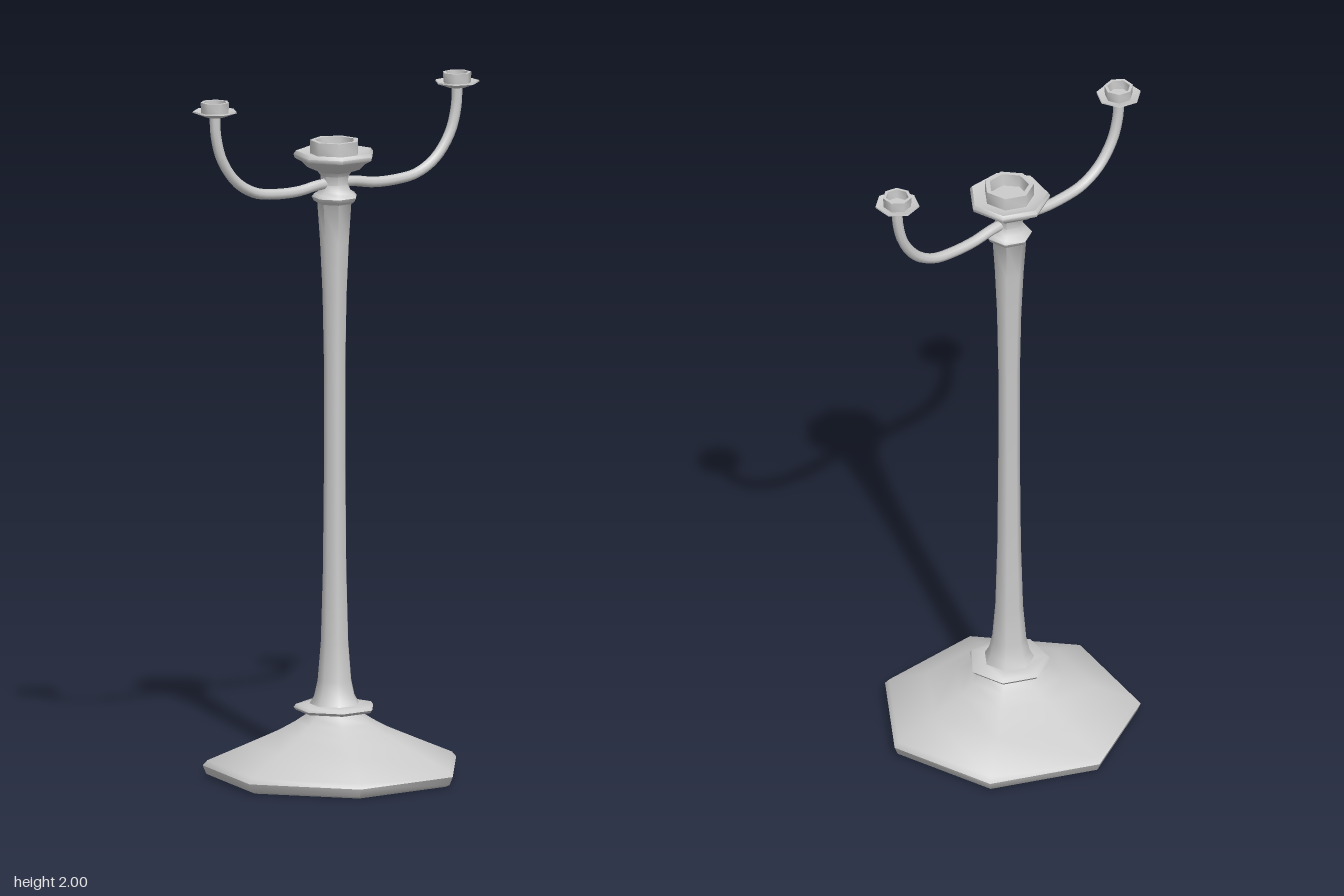
import * as THREE from 'three';
import { toCreasedNormals } from 'three/addons/utils/BufferGeometryUtils.js';

const SIDES = 7;
const AXIS_Z = 0.014;
const material = new THREE.MeshStandardMaterial({ color: 0xcccccc, side: THREE.DoubleSide });

// Seven-sided turned part from [radius, height] points, bottom to top
function turned(name, profile, phiStart) {
  const points = profile.map(([r, y]) => new THREE.Vector2(r, y));
  const geometry = new THREE.LatheGeometry(points, SIDES, phiStart, Math.PI * 2);
  const mesh = new THREE.Mesh(toCreasedNormals(geometry, 0.95), material);
  mesh.name = name;
  return mesh;
}

export function createModel() {
  const group = new THREE.Group();
  group.name = 'candelabra';
  const turn = Math.PI + 0.04;

  // Hollow spreading foot
  const foot = turned('foot', [
    [0, 0.15], [0.11, 0.15], [0.35, 0.012], [0.355, 0], [0.368, 0.006], [0.378, 0.03], [0.365, 0.045],
    [0.25, 0.095], [0.16, 0.135], [0.115, 0.16], [0.085, 0.18], [0.075, 0.195],
  ], turn);

  // Slender column with a collar at each end
  const column = turned('column', [
    [0.075, 0.193], [0.112, 0.193], [0.119, 0.201], [0.112, 0.21], [0.073, 0.212],
    [0.06, 0.235], [0.05, 0.28], [0.041, 0.39], [0.035, 0.6], [0.032, 0.9], [0.032, 1.2],
    [0.036, 1.4], [0.043, 1.55], [0.051, 1.665], [0.062, 1.672], [0.067, 1.683],
    [0.06, 1.692], [0.047, 1.7], [0.04, 1.72], [0.042, 1.745], [0.052, 1.758],
  ], turn);

  // Central bowl with its candle socket
  const bowl = turned('centreBowl', [
    [0.05, 1.757], [0.078, 1.767], [0.097, 1.785], [0.116, 1.795], [0.119, 1.806], [0.112, 1.816],
    [0.085, 1.808], [0.072, 1.808], [0.072, 1.847], [0.058, 1.847], [0.055, 1.81], [0, 1.81],
  ], turn);

  for (const part of [foot, column, bowl]) {
    part.position.set(-0.003, 0, AXIS_Z);
    group.add(part);
  }

  // Mirrored arms, each ending in a drip pan and socket
  for (const side of [-1, 1]) {
    const label = side > 0 ? 'left' : 'right';
    const path = new THREE.CatmullRomCurve3([
      [0, 1.724], [0.06, 1.722], [0.13, 1.711], [0.21, 1.711], [0.28, 1.722],
      [0.345, 1.76], [0.395, 1.828], [0.416, 1.9], [0.42, 1.965],
    ].map(([x, y]) => new THREE.Vector3(side * x, y, AXIS_Z)));
    const arm = new THREE.Mesh(new THREE.TubeGeometry(path, 28, 0.0155, 8), material);
    arm.name = label + 'Arm';
    group.add(arm);

    const cup = turned(label + 'Cup', [
      [0, 1.956], [0.028, 1.957], [0.065, 1.971], [0.064, 1.975], [0.04, 1.969],
      [0.042, 2], [0.033, 2], [0.032, 1.972], [0, 1.972],
    ], -side * Math.PI / 2);
    cup.position.set(side * 0.419, 0, AXIS_Z);
    group.add(cup);
  }
  return group;
}
